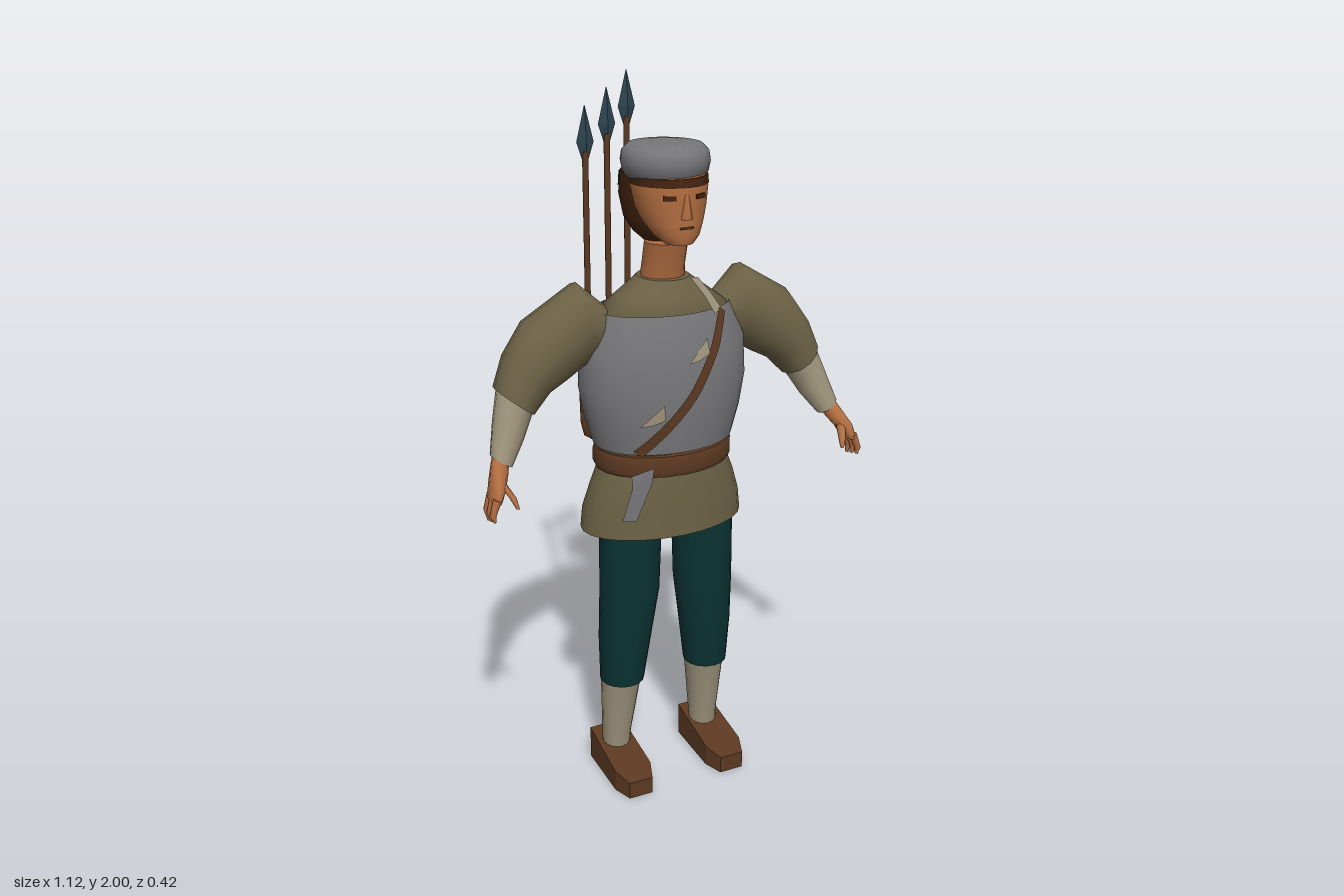
import * as THREE from 'three';

const mat = (name, color, double) => {
  const m = new THREE.MeshStandardMaterial({ color });
  m.name = name;
  if (double) m.side = THREE.DoubleSide;
  return m;
};

export function createModel() {
  const root = new THREE.Group();
  root.name = 'archer';
  const olive = mat('olive cloth', 0x6b6145, true);
  const grey = mat('grey cloth', 0x77777a, true);
  const cream = mat('cream linen', 0x9c927a, true);
  const skin = mat('skin', 0xb06c40);
  const brown = mat('brown leather', 0x5c3922, true);
  const teal = mat('dark teal cloth', 0x0c3232, true);
  const hairMat = mat('dark hair', 0x42220f);
  const steel = mat('blue steel', 0x2c434e);

  const add = (name, geo, material, parent = root) => {
    const m = new THREE.Mesh(geo, material);
    m.name = name;
    parent.add(m);
    return m;
  };

  // Lofts elliptical rings [x, y, z, r1, r2, tilt]; side = -1 mirrors in x
  const loft = (rings, { side = 1, segs = 16, caps = true, from = 0, sweep = Math.PI * 2 } = {}) => {
    const pos = [], idx = [];
    const tri = (a, b, c) => (side > 0 ? idx.push(a, b, c) : idx.push(a, c, b));
    const ringPoints = ([x, y, z, r1, r2, t = 0]) => {
      for (let j = 0; j < segs; j++) {
        const a = from + (j / (sweep < 6 ? segs - 1 : segs)) * sweep;
        const u = r1 * Math.cos(a);
        pos.push(side * (x + u * Math.cos(t)), y + u * Math.sin(t), z + r2 * Math.sin(a));
      }
    };
    rings.forEach(ringPoints);
    const last = sweep < 6 ? segs - 1 : segs;
    for (let r = 0; r < rings.length - 1; r++) {
      for (let j = 0; j < last; j++) {
        const k = (j + 1) % segs, p = r * segs, q = p + segs;
        tri(p + j, q + j, p + k);
        tri(p + k, q + j, q + k);
      }
    }
    if (caps) {
      [rings[0], rings[rings.length - 1]].forEach((ring, end) => {
        const base = pos.length / 3;
        ringPoints(ring);
        pos.push(side * ring[0], ring[1], ring[2]);
        for (let j = 0; j < segs; j++) {
          const k = (j + 1) % segs;
          if (end) tri(base + segs, base + k, base + j);
          else tri(base + segs, base + j, base + k);
        }
      });
    }
    const g = new THREE.BufferGeometry();
    g.setAttribute('position', new THREE.Float32BufferAttribute(pos, 3));
    g.setIndex(idx);
    g.computeVertexNormals();
    return g;
  };

  // Flat strip between two matching edges
  const ribbon = (a, b) => {
    const pos = [], idx = [];
    a.forEach((p, i) => pos.push(...p, ...b[i]));
    for (let i = 0; i < a.length - 1; i++) {
      const n = i * 2;
      idx.push(n, n + 1, n + 2, n + 1, n + 3, n + 2);
    }
    const g = new THREE.BufferGeometry();
    g.setAttribute('position', new THREE.Float32BufferAttribute(pos, 3));
    g.setIndex(idx);
    g.computeVertexNormals();
    return g;
  };

  // Torso: tunic, skirt, belt and vest
  add('tunic', loft([[0, 0.95, 0.035, 0.185, 0.125], [0, 1.2, 0.035, 0.2, 0.13],
    [0, 1.41, 0.035, 0.185, 0.122], [0, 1.45, 0.037, 0.13, 0.1], [0, 1.495, 0.038, 0.07, 0.074]], { segs: 24 }), olive);
  add('tunicSkirt', loft([[0, 0.79, 0.03, 0.24, 0.146], [0, 0.85, 0.03, 0.234, 0.143],
    [0, 0.92, 0.035, 0.212, 0.136], [0, 0.98, 0.035, 0.188, 0.13]], { segs: 24, caps: false }), olive);
  add('belt', loft([[0, 0.972, 0.035, 0.194, 0.144], [0, 0.985, 0.035, 0.2, 0.149],
    [0, 1.018, 0.035, 0.2, 0.149], [0, 1.03, 0.035, 0.194, 0.144]], { segs: 24 }), brown);
  const vest = [[0, 1.04, 0.038, 0.2, 0.146], [0, 1.12, 0.036, 0.224, 0.157],
    [0, 1.21, 0.035, 0.24, 0.162], [0, 1.32, 0.035, 0.235, 0.154], [0, 1.415, 0.035, 0.19, 0.126]];
  add('vest', loft(vest, { segs: 32, caps: false }), grey);

  // Points lying just over the front of the vest
  const onVest = (x, y) => {
    const yy = THREE.MathUtils.clamp(y, 1.04, 1.414);
    const i = Math.max(1, vest.findIndex((r) => r[1] > yy));
    const p = vest[i - 1], q = vest[i], t = (yy - p[1]) / (q[1] - p[1]);
    const f = (n) => p[n] + (q[n] - p[n]) * t;
    return [x, y, f(2) + 0.007 + f(4) * Math.sqrt(1 - (x / f(3)) ** 2)];
  };
  const strapCurve = new THREE.CatmullRomCurve3(
    [[0.125, 1.41], [0.065, 1.29], [0.005, 1.195], [-0.13, 1.045]].map(([x, y]) => new THREE.Vector3(x, y, 0)));
  const strapPoints = strapCurve.getPoints(14);
  add('chestStrap', ribbon(strapPoints.map((p) => onVest(p.x - 0.011, p.y + 0.008)),
    strapPoints.map((p) => onVest(p.x + 0.011, p.y - 0.008))), brown);
  add('collarStrip', ribbon([[0.05, 1.495, 0.1], [0.075, 1.45, 0.135], [0.095, 1.405, 0.157]],
    [[0.078, 1.49, 0.09], [0.105, 1.45, 0.115], [0.125, 1.412, 0.137]]), cream);
  [[0.03, 1.32], [-0.1, 1.155]].forEach(([x, y]) => add('vestPatch', ribbon(
    [onVest(x - 0.03, y - 0.03), onVest(x + 0.03, y + 0.03)],
    [onVest(x, y - 0.025), onVest(x + 0.035, y - 0.012)]), cream));
  add('beltTab', ribbon([[-0.145, 0.98, 0.148], [-0.145, 0.95, 0.155], [-0.17, 0.85, 0.142]],
    [[-0.09, 1.005, 0.175], [-0.095, 0.96, 0.172], [-0.135, 0.85, 0.157]]), grey);

  // Plan outline of a shoe, raised to a wedge
  const shoeGeometry = (x) => {
    const s = new THREE.Shape([[-0.053, 0.04], [-0.056, -0.15], [-0.036, -0.207], [0.036, -0.207],
      [0.056, -0.15], [0.053, 0.04]].map(([a, b]) => new THREE.Vector2(a, b)));
    const g = new THREE.ExtrudeGeometry(s, { depth: 1, bevelEnabled: false });
    g.rotateX(-Math.PI / 2);
    const p = g.attributes.position;
    for (let i = 0; i < p.count; i++) p.setY(i, p.getY(i) * (0.092 - 0.2 * p.getZ(i)));
    g.translate(x, 0, 0);
    g.computeVertexNormals();
    return g;
  };

  // Limbs, mirrored left and right
  for (const side of [1, -1]) {
    const tag = side > 0 ? 'left' : 'right';
    const leg = new THREE.Group();
    leg.name = tag + 'Leg';
    root.add(leg);
    add('trouserLeg', loft([[0.135, 0.31, 0.05, 0.064, 0.064], [0.128, 0.45, 0.057, 0.076, 0.074],
      [0.116, 0.6, 0.064, 0.086, 0.08], [0.11, 0.86, 0.065, 0.09, 0.08]], { side }), teal, leg);
    add('stocking', loft([[0.145, 0.05, 0.022, 0.04, 0.04], [0.143, 0.12, 0.024, 0.043, 0.042],
      [0.135, 0.32, 0.044, 0.06, 0.057]], { side }), cream, leg);
    add('shoe', shoeGeometry(side * 0.148), brown, leg);

    const arm = new THREE.Group();
    arm.name = tag + 'Arm';
    root.add(arm);
    add('sleeve', loft([[0.43, 1.205, 0.036, 0.064, 0.07, 0.67], [0.39, 1.27, 0.027, 0.08, 0.081, 0.75],
      [0.335, 1.325, 0.022, 0.1, 0.09, 1.0], [0.235, 1.385, 0.02, 0.112, 0.086, 1.5],
      [0.165, 1.37, 0.025, 0.05, 0.055, 1.75]], { side, segs: 12 }), olive, arm);
    add('forearm', loft([[0.492, 1.07, 0.098, 0.034, 0.032, 0.6], [0.46, 1.135, 0.067, 0.048, 0.046, 0.62],
      [0.425, 1.215, 0.036, 0.058, 0.062, 0.67]], { side, segs: 12 }), cream, arm);
    add('palm', loft([[0.533, 0.99, 0.155, 0.016, 0.038, 0.25], [0.522, 1.02, 0.145, 0.02, 0.042, 0.4],
      [0.503, 1.055, 0.115, 0.025, 0.03, 0.5], [0.488, 1.085, 0.09, 0.024, 0.026, 0.6]], { side, segs: 10 }), skin, arm);
    // Fingers and thumb
    for (let i = 0; i < 3; i++) {
      const z = 0.132 + i * 0.024;
      add('finger', loft([[0.545, 0.93 + i * 0.006, z + 0.006, 0.004, 0.006, -0.1],
        [0.549, 0.96, z + 0.004, 0.009, 0.011, 0.05], [0.534, 1.0, z, 0.012, 0.013, 0.35]],
      { side, segs: 8 }), skin, arm);
    }
    add('thumb', loft([[0.487, 0.975, 0.2, 0.005, 0.006, 0.1], [0.494, 1.0, 0.186, 0.01, 0.012, 0.2],
      [0.512, 1.035, 0.145, 0.014, 0.016, 0.4]], { side, segs: 8 }), skin, arm);
  }

  // Neck and head
  add('neck', loft([[0, 1.47, 0.03, 0.062, 0.058], [0, 1.53, 0.042, 0.058, 0.056],
    [0, 1.59, 0.058, 0.058, 0.057]]), skin);
  const head = new THREE.Group();
  head.name = 'head';
  root.add(head);
  add('face', loft([[0, 1.6, 0.13, 0.038, 0.042], [0, 1.62, 0.115, 0.06, 0.064], [0, 1.65, 0.095, 0.078, 0.082],
    [0, 1.69, 0.08, 0.093, 0.096], [0, 1.74, 0.072, 0.101, 0.106], [0, 1.775, 0.068, 0.1, 0.1]], { segs: 20 }), skin, head);
  add('nose', loft([[0, 1.668, 0.168, 0.017, 0.022], [0, 1.685, 0.17, 0.013, 0.02],
    [0, 1.735, 0.168, 0.007, 0.01]], { segs: 8 }), skin, head);
  add('hair', loft([[0, 1.578, 0.025, 0.035, 0.028], [0, 1.61, 0.016, 0.07, 0.066], [0, 1.65, 0.012, 0.094, 0.089],
    [0, 1.71, 0.008, 0.105, 0.098], [0, 1.77, 0.015, 0.104, 0.092]], { segs: 20 }), hairMat, head);
  add('kerchief', loft([[0, 1.725, 0.01, 0.107, 0.101], [0, 1.765, 0.015, 0.107, 0.097]],
    { segs: 12, caps: false, from: Math.PI * 1.1, sweep: Math.PI * 0.8 }), teal, head);
  add('fringe', loft([[0, 1.747, 0.071, 0.103, 0.108], [0, 1.768, 0.069, 0.103, 0.105]], { segs: 20 }), hairMat, head);
  for (const s of [1, -1]) {
    const eye = add('eye', new THREE.BoxGeometry(0.034, 0.012, 0.006), hairMat, head);
    eye.position.set(s * 0.043, 1.722, 0.166);
    eye.rotation.y = s * 0.42;
  }
  const mouth = add('mouth', new THREE.BoxGeometry(0.036, 0.005, 0.006), brown, head);
  mouth.position.set(0, 1.645, 0.178);

  // Cap with two hanging ribbons
  const cap = new THREE.LatheGeometry([[0, 1.758], [0.1, 1.758], [0.113, 1.775], [0.118, 1.8], [0.114, 1.825],
    [0.098, 1.841], [0.06, 1.845], [0, 1.846]].map(([r, y]) => new THREE.Vector2(r, y)), 24);
  cap.scale(0.98, 1, 1.02);
  add('cap', cap, grey, head).position.set(-0.003, 0, 0.057);
  [[0.122, -0.078], [0.164, -0.064]].forEach(([x, z]) => {
    const path = [[0.095, 1.815, -0.03], [x, 1.755, z], [x, 1.68, z - 0.006], [x + 0.003, 1.595, z - 0.02]];
    add('capRibbon', ribbon(path.map(([a, b, c]) => [a, b - 0.006, c - 0.015]),
      path.map(([a, b, c]) => [a, b + 0.006, c + 0.015])), grey, head);
  });

  // Quiver with three arrows
  const quiver = new THREE.Group();
  quiver.name = 'quiver';
  quiver.position.set(-0.067, 0, -0.167);
  root.add(quiver);
  add('quiverBody', loft([[0, 0.975, 0, 0.06, 0.028], [0, 0.99, 0, 0.082, 0.036], [0, 1.03, 0, 0.092, 0.039],
    [0, 1.265, 0, 0.098, 0.04]], { segs: 20 }), brown, quiver);
  add('quiverRim', loft([[0, 1.262, 0, 0.104, 0.044], [0, 1.29, 0, 0.104, 0.044]], { segs: 20 }), brown, quiver);
  [[-0.063, 1.915], [0, 1.958], [0.058, 2]].forEach(([x, top]) => {
    const shaft = add('arrowShaft', new THREE.CylinderGeometry(0.009, 0.009, top - 1.32, 8), brown, quiver);
    shaft.position.set(x, (top - 0.12 + 1.2) / 2, 0);
    add('arrowHead', loft([[x, top - 0.145, 0, 0.008, 0.008], [x, top - 0.095, 0, 0.025, 0.01],
      [x, top, 0, 0.001, 0.001]], { segs: 4 }).toNonIndexed(), steel, quiver).geometry.computeVertexNormals();
  });
  return root;
}
